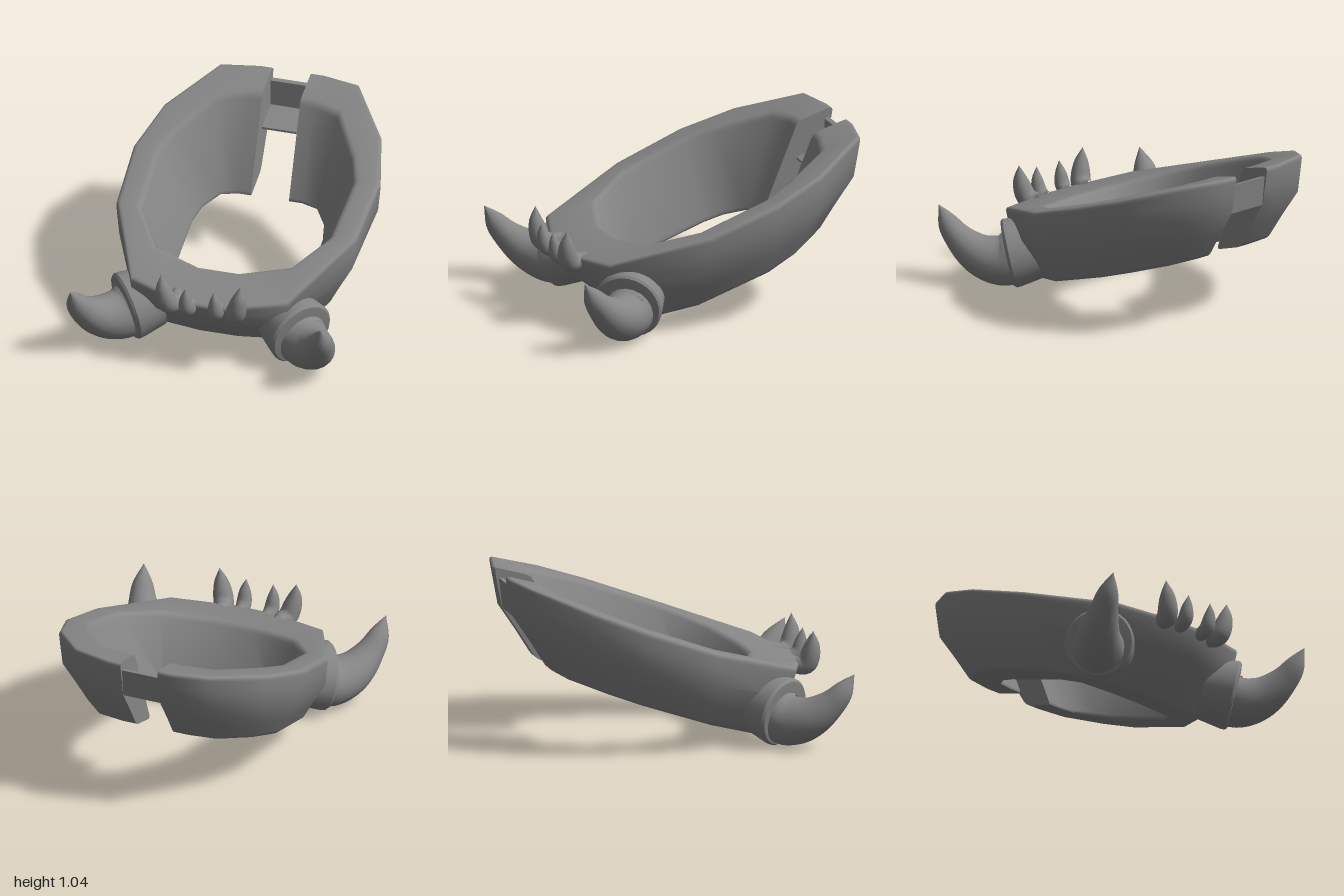
import * as THREE from 'three';
import { toCreasedNormals } from 'three/addons/utils/BufferGeometryUtils.js';

const V = (x, y, z) => new THREE.Vector3(x, y, z);

// Heights of the tilted band's upper and lower rims
const topY = (z, frontSlope) => Math.min(1.062, 0.655 - (z - 0.15) * (z < 0.15 ? 0.37 : frontSlope));
const bottomY = z => 0.052 + (0.49 - z) * 0.348;

// Half plan, back to front: outer top, outer bottom, inner bottom, inner top (x, z each)
const STATIONS = [
  [0.12, -1.00, 0.12, -0.74, 0.12, -0.525, 0.12, -0.77],
  [0.20, -1.00, 0.21, -0.74, 0.20, -0.525, 0.20, -0.765],
  [0.435, -0.95, 0.38, -0.69, 0.30, -0.50, 0.38, -0.71],
  [0.685, -0.60, 0.53, -0.48, 0.375, -0.39, 0.56, -0.41],
  [0.78, -0.27, 0.60, -0.28, 0.40, -0.28, 0.62, -0.25],
  [0.76, 0.15, 0.58, 0.17, 0.40, 0.16, 0.60, 0.17],
  [0.495, 0.725, 0.41, 0.47, 0.36, 0.245, 0.43, 0.42],
  [0.12, 0.85, 0.12, 0.50, 0.12, 0.28, 0.13, 0.52],
];
// Outer wall bulge: fraction down the wall, outward scale
const BULGE = [[0.2, 1.033], [0.43, 1.073], [0.72, 1.035]];

// Closed band section with rounded corners and a bulging outer wall
function section([ox, oz, bx, bz, jx, jz, ix, iz]) {
  const O = V(ox, topY(oz, 0.32), oz), B = V(bx, bottomY(bz), bz);
  const J = V(jx, bottomY(jz), jz), I = V(ix, topY(iz, 0.39), iz);
  const wall = BULGE.map(([t, k]) => {
    const p = O.clone().lerp(B, t);
    return V(ox < 0.13 ? p.x : p.x * k, p.y, p.z * k);
  });
  const round = (a, p, b) => {
    const start = p.clone().add(a.clone().sub(p).setLength(0.035));
    const end = p.clone().add(b.clone().sub(p).setLength(0.035));
    return new THREE.QuadraticBezierCurve3(start, p, end).getPoints(4);
  };
  return [...round(I, O, wall[0]), ...wall, ...round(wall[2], B, J), ...round(B, J, I), ...round(J, I, O)];
}

function bandGeometry() {
  const half = STATIONS.map(section);
  const mirrored = half.map(s => s.map(p => V(-p.x, p.y, p.z))).reverse();
  const rings = [...half, ...mirrored];
  const n = rings[0].length, pos = [];
  const tri = (...ps) => ps.forEach(p => pos.push(p.x, p.y, p.z));
  for (let i = 0; i < rings.length - 1; i++) {
    for (let j = 0; j < n; j++) {
      const k = (j + 1) % n, a = rings[i], b = rings[i + 1];
      tri(a[j], b[j], a[k]);
      tri(b[j], b[k], a[k]);
    }
  }
  // Flat ends at the rear gap
  [rings[0], rings[rings.length - 1]].forEach((r, e) => {
    const c = r.reduce((s, p) => s.add(p), V(0, 0, 0)).divideScalar(n);
    for (let j = 0; j < n; j++) {
      const k = (j + 1) % n;
      if (e === 0) tri(c, r[j], r[k]); else tri(c, r[k], r[j]);
    }
  });
  const g = new THREE.BufferGeometry();
  g.setAttribute('position', new THREE.Float32BufferAttribute(pos, 3));
  return toCreasedNormals(g, 0.9);
}

// Curved horn: a tube whose radius follows a list of values
function hornGeometry(points, radii, side) {
  const path = new THREE.CatmullRomCurve3(points.map(([x, y, z]) => V(x * side, y, z)));
  const size = new THREE.CatmullRomCurve3(radii.map((r, i) => V(r, i * 0.1, 0)));
  const rows = 30, sides = 20;
  const g = new THREE.TubeGeometry(path, rows, 1, sides, false);
  const p = g.attributes.position, v = V(0, 0, 0);
  for (let i = 0; i <= rows; i++) {
    const c = path.getPointAt(i / rows);
    const r = Math.max(0.0005, size.getPoint(i / rows).x);
    for (let j = 0; j <= sides; j++) {
      const k = i * (sides + 1) + j;
      v.fromBufferAttribute(p, k).sub(c).multiplyScalar(r).add(c);
      p.setXYZ(k, v.x, v.y, v.z);
    }
  }
  return toCreasedNormals(g, 1.2);
}

export function createModel() {
  const model = new THREE.Group();
  const material = new THREE.MeshStandardMaterial({ color: 0x868686 });
  const add = (name, geometry) => {
    const mesh = new THREE.Mesh(geometry, material);
    mesh.name = name;
    model.add(mesh);
    return mesh;
  };

  add('band', bandGeometry());

  // L-shaped clasp bridging the rear gap: back plate and sloping floor, drawn in (-z, y)
  const claspShape = new THREE.Shape([
    [0.972, 0.995], [0.942, 0.99], [0.942, 0.825], [0.76, 0.768], [0.76, 0.755], [0.95, 0.808],
  ].map(([x, y]) => new THREE.Vector2(x, y)));
  const clasp = new THREE.ExtrudeGeometry(claspShape, { depth: 0.28, bevelEnabled: false });
  clasp.translate(0, 0, -0.14).rotateY(Math.PI / 2);
  add('clasp', clasp);

  const socketProfile = [[0, 0], [0.185, 0], [0.21, 0.15], [0.212, 0.18], [0.2, 0.195], [0.155, 0.2], [0, 0.2]]
    .map(([x, y]) => new THREE.Vector2(x, y));

  for (const side of [1, -1]) {
    const prefix = side > 0 ? 'left' : 'right';

    // Socket collar and large tusk
    const socket = add(prefix + 'TuskSocket', toCreasedNormals(new THREE.LatheGeometry(socketProfile, 32), 0.7));
    socket.position.set(0.408 * side, 0.255, 0.51);
    socket.quaternion.setFromUnitVectors(V(0, 1, 0), V(0.77 * side, -0.21, 0.6).normalize());
    add(prefix + 'Tusk', hornGeometry(
      [[0.49, 0.235, 0.56], [0.57, 0.175, 0.635], [0.67, 0.2, 0.745], [0.75, 0.315, 0.885], [0.788, 0.48, 0.998]],
      [0.16, 0.158, 0.14, 0.114, 0.086, 0.06, 0], side));

    // Small teeth along the front rim
    add(prefix + 'OuterTooth', hornGeometry(
      [[0.19, 0.45, 0.735], [0.19, 0.42, 0.795], [0.21, 0.425, 0.855], [0.235, 0.52, 0.885], [0.25, 0.635, 0.888]],
      [0.03, 0.057, 0.06, 0.042, 0], side));
    add(prefix + 'InnerTooth', hornGeometry(
      [[0.085, 0.42, 0.79], [0.087, 0.405, 0.84], [0.09, 0.43, 0.885], [0.092, 0.5, 0.905], [0.088, 0.58, 0.915]],
      [0.035, 0.044, 0.044, 0.03, 0], side));
  }
  return model;
}
